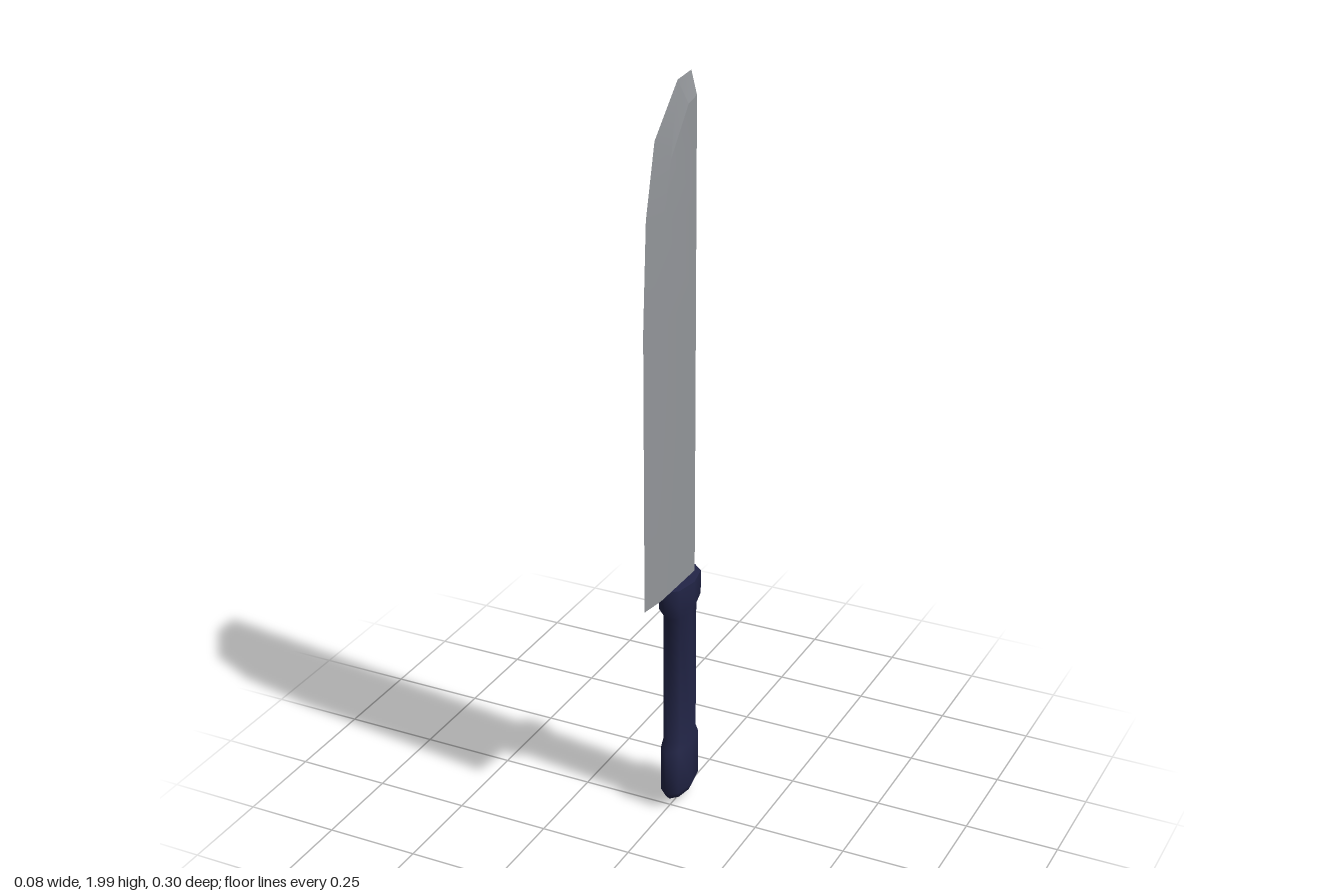
import * as THREE from 'three';
import { toCreasedNormals } from 'three/addons/utils/BufferGeometryUtils.js';

const SPINE_Z = -0.115, HALF = 0.015;

// Blade stations from heel to tip: [edge z, edge y, ridge z, ridge y, ridge half thickness]
const STATIONS = [
  [0.147, 0.665, 0.075, 0.665, 0.011],
  [0.147, 1.42, 0.075, 1.42, 0.011],
  [0.13, 1.70, 0.06, 1.67, 0.0115],
  [0.083, 1.88, 0.02, 1.82, 0.0125],
  [-0.04, 1.995, -0.07, 1.93, 0.0145],
  [SPINE_Z, 2.0, SPINE_Z, 1.94, HALF],
];

function bladeGeometry() {
  const pos = [];
  const tri = (...p) => {
    const [a, b, c] = p.map((v) => new THREE.Vector3(...v));
    if (new THREE.Triangle(a, b, c).getArea() > 1e-8) pos.push(...p.flat());
  };
  const quad = (a, b, c, d) => { tri(a, b, c); tri(a, c, d); };
  const spine = (i, s) => [s * HALF, STATIONS[i][3], SPINE_Z];
  const ridge = (i, s) => [s * STATIONS[i][4], STATIONS[i][3], STATIONS[i][2]];
  const edge = (i) => [0, STATIONS[i][1], STATIONS[i][0]];
  const last = STATIONS.length - 1;

  for (let i = 0; i < last; i++) {
    for (const s of [1, -1]) {
      const face = (a, b, c, d) => (s > 0 ? quad(a, b, c, d) : quad(d, c, b, a));
      // flat of the blade, then the ground bevel
      face(spine(i, s), spine(i + 1, s), ridge(i + 1, s), ridge(i, s));
      face(ridge(i, s), ridge(i + 1, s), edge(i + 1), edge(i));
    }
    quad(spine(i, -1), spine(i + 1, -1), spine(i + 1, 1), spine(i, 1));
  }
  // pointed end of the spine and the heel
  tri(spine(last, -1), edge(last), spine(last, 1));
  quad(spine(0, -1), spine(0, 1), ridge(0, 1), ridge(0, -1));
  tri(ridge(0, -1), ridge(0, 1), edge(0));

  const geo = new THREE.BufferGeometry();
  geo.setAttribute('position', new THREE.Float32BufferAttribute(pos, 3));
  return toCreasedNormals(geo, 0.15);
}

// Handle rows from pommel to collar: [half depth, height, half width]
const HANDLE = [
  [0, 0.006, 0], [0.064, 0.028, 0.027], [0.085, 0.05, 0.037], [0.085, 0.18, 0.037],
  [0.069, 0.205, 0.034], [0.069, 0.575, 0.034], [0.09, 0.6, 0.042], [0.09, 0.665, 0.042],
];

// Eight-sided lathe whose rows are each flattened to their own oval
function handleGeometry() {
  const geo = new THREE.LatheGeometry(HANDLE.map(([r, y]) => new THREE.Vector2(r, y)), 8);
  const pos = geo.attributes.position;
  for (let i = 0; i < pos.count; i++) {
    const [depth, , width] = HANDLE[i % HANDLE.length];
    if (depth > 0) pos.setX(i, pos.getX(i) * width / depth);
  }
  return toCreasedNormals(geo, 1.6);
}

export function createModel() {
  const group = new THREE.Group();
  const steel = new THREE.MeshStandardMaterial({ color: 0x929599 });
  const navy = new THREE.MeshStandardMaterial({ color: 0x222547 });

  const blade = new THREE.Mesh(bladeGeometry(), steel);
  blade.name = 'blade';
  group.add(blade);

  const handle = new THREE.Group();
  handle.name = 'handle';
  handle.position.z = -0.058;
  const grip = new THREE.Mesh(handleGeometry(), navy);
  grip.name = 'grip';

  // Flat top of the collar
  const capGeo = new THREE.CircleGeometry(0.09, 8).rotateX(-Math.PI / 2).scale(0.042 / 0.09, 1, 1);
  const cap = new THREE.Mesh(capGeo, navy);
  cap.name = 'collarTop';
  cap.position.y = 0.665;
  handle.add(grip, cap);
  group.add(handle);

  return group;
}
